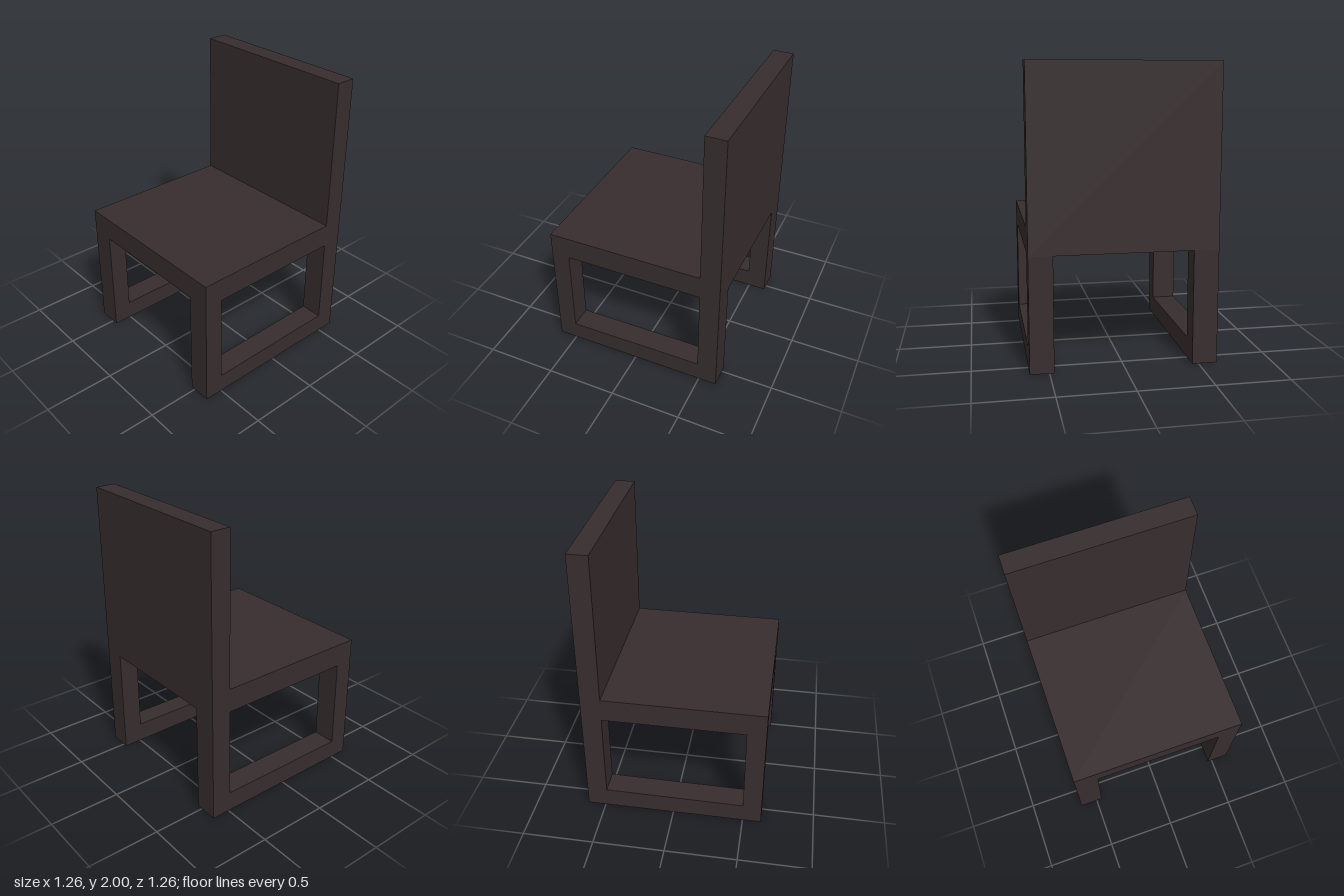
import * as THREE from 'three';

const X0 = -0.63, X1 = 0.628, BACK_X = 0.487;      // front edge, rear edge, backrest face
const Z0 = -0.628, Z1 = 0.628;                     // overall width
const SEAT_BOTTOM = 0.777, SEAT_TOP = 0.942, TOP = 2;

export function createModel() {
  const chair = new THREE.Group();
  chair.name = 'chair';
  const darkWood = new THREE.MeshStandardMaterial({ color: 0x372d2e });
  darkWood.name = 'dark wood';

  // Extrudes an outline in the x-y plane from z0 to z1
  function extrudePart(name, points, z0, z1) {
    const shape = new THREE.Shape(points.map(([x, y]) => new THREE.Vector2(x, y)));
    const geometry = new THREE.ExtrudeGeometry(shape, { depth: z1 - z0, bevelEnabled: false });
    geometry.translate(0, 0, z0);
    const mesh = new THREE.Mesh(geometry, darkWood);
    mesh.name = name;
    chair.add(mesh);
  }

  // Seat and upright backrest in one L-shaped body
  extrudePart('seatAndBackrest', [
    [X0, SEAT_BOTTOM], [X1, SEAT_BOTTOM], [X1, TOP],
    [BACK_X, TOP], [BACK_X, SEAT_TOP], [X0, SEAT_TOP],
  ], Z0, Z1);

  // Sled legs: two posts joined by a floor rail, one on each side
  const sled = [
    [X0, 0], [X1, 0], [X1, SEAT_BOTTOM], [BACK_X, SEAT_BOTTOM],
    [BACK_X, 0.142], [-0.498, 0.135], [-0.498, SEAT_BOTTOM], [X0, SEAT_BOTTOM],
  ];
  extrudePart('frontSledLeg', sled, 0.468, Z1);
  extrudePart('rearSledLeg', sled, Z0, -0.458);

  return chair;
}
